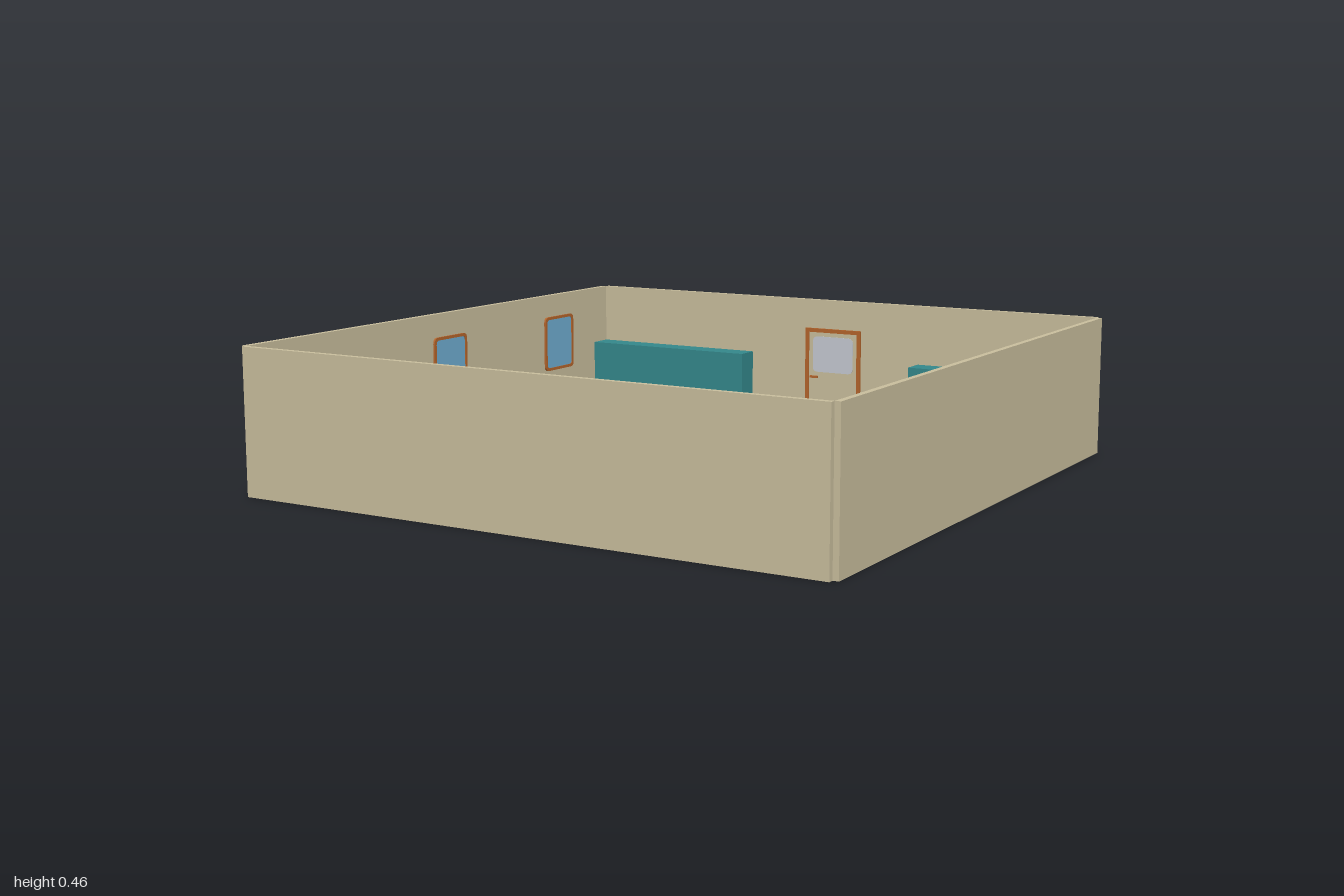
import * as THREE from 'three';

const mat = (name, color) => new THREE.MeshStandardMaterial({ name, color });

function roundedRect(path, w, h, r) {
  const x = w / 2, y = h / 2;
  path.moveTo(-x + r, -y);
  path.lineTo(x - r, -y);
  path.quadraticCurveTo(x, -y, x, -y + r);
  path.lineTo(x, y - r);
  path.quadraticCurveTo(x, y, x - r, y);
  path.lineTo(-x + r, y);
  path.quadraticCurveTo(-x, y, -x, y - r);
  path.lineTo(-x, -y + r);
  path.quadraticCurveTo(-x, -y, -x + r, -y);
  return path;
}

export function createModel() {
  const model = new THREE.Group();
  model.name = 'room';
  const wallMat = mat('beige', 0xcabf9e);
  const floorMat = mat('paleGrey', 0xc5c9ca);
  const tealMat = mat('teal', 0x34888c);
  const yellowMat = mat('yellow', 0xccc662);
  const legMat = mat('darkRed', 0x5a1418);
  const frameMat = mat('orangeWood', 0xb5652c);
  const glassMat = mat('blueGlass', 0x70aed2);
  const doorGlassMat = mat('greyGlass', 0xc6cad2);
  const potMat = mat('brown', 0xa05a34);

  const add = (parent, name, geometry, material, x = 0, y = 0, z = 0) => {
    const mesh = new THREE.Mesh(geometry, material);
    mesh.name = name;
    mesh.position.set(x, y, z);
    parent.add(mesh);
    return mesh;
  };
  const box = (parent, name, w, h, d, material, x, y, z) =>
    add(parent, name, new THREE.BoxGeometry(w, h, d), material, x, y, z);
  const plate = (shape, depth) =>
    new THREE.ExtrudeGeometry(shape, { depth, bevelEnabled: false, curveSegments: 5 });

  // Floor and four walls, with small open notches at the corners
  const H = 0.46, T = 0.018, IN = 1 - T;
  box(model, 'floor', 2 * IN, 0.003, 2 * IN, floorMat, 0, 0.0015, 0);
  for (const s of [-1, 1]) {
    box(model, s < 0 ? 'backWall' : 'frontWall', 2 * IN, H, T, wallMat, 0, H / 2, s * (1 - T / 2));
    box(model, s < 0 ? 'rightWall' : 'leftWall', T, H, 2 * IN, wallMat, s * (1 - T / 2), H / 2, 0);
  }

  // Windows: rounded frame with a pane, three on each of three walls
  const W = 0.18, WH = 0.2, R = 0.02, F = 0.01;
  const frameShape = roundedRect(new THREE.Shape(), W, WH, R);
  frameShape.holes.push(roundedRect(new THREE.Path(), W - 2 * F, WH - 2 * F, R - F / 2));
  const frameGeo = plate(frameShape, 0.007);
  const paneGeo = plate(roundedRect(new THREE.Shape(), W - 2 * F, WH - 2 * F, R - F / 2), 0.004);
  const addWindow = (x, z, turn) => {
    const g = new THREE.Group();
    g.name = 'window';
    add(g, 'windowFrame', frameGeo, frameMat);
    add(g, 'windowPane', paneGeo, glassMat);
    g.position.set(x, 0.28, z);
    g.rotation.y = turn;
    model.add(g);
  };
  for (const t of [-0.655, 0, 0.655]) {
    addWindow(-IN, t, Math.PI / 2);
    addWindow(IN, t, -Math.PI / 2);
    addWindow(t, IN, Math.PI);
  }

  // Door in the middle of the back wall
  const door = new THREE.Group();
  door.name = 'door';
  door.position.z = -IN;
  model.add(door);
  for (const s of [-1, 1]) box(door, 'doorJamb', 0.014, 0.355, 0.008, frameMat, s * 0.103, 0.1785, 0.004);
  box(door, 'doorLintel', 0.192, 0.014, 0.008, frameMat, 0, 0.349, 0.004);
  box(door, 'doorPanel', 0.192, 0.339, 0.004, wallMat, 0, 0.1725, 0.002);
  add(door, 'doorPane', plate(roundedRect(new THREE.Shape(), 0.16, 0.13, 0.02), 0.002), doorGlassMat, 0, 0.262, 0.004);
  box(door, 'doorHandle', 0.03, 0.008, 0.008, frameMat, -0.075, 0.178, 0.008);

  // Low cabinets on both sides of the door
  for (const s of [-1, 1])
    box(model, 'cabinet', IN - 0.333, 0.25, 0.084, tealMat, s * (IN + 0.333) / 2, 0.127, -0.9 - 0.041);

  // Tables in a three by three grid, the middle one at the back is yellow
  const addTable = (x, z, topMat) => {
    const g = new THREE.Group();
    g.name = 'table';
    g.position.set(x, 0, z);
    box(g, 'tableTop', 0.255, 0.018, 0.128, topMat, 0, 0.081, 0);
    for (const s of [-1, 1]) {
      box(g, 'longApron', 0.238, 0.01, 0.006, legMat, 0, 0.067, s * 0.056);
      box(g, 'shortApron', 0.006, 0.01, 0.108, legMat, s * 0.118, 0.067, 0);
      for (const q of [-1, 1])
        box(g, 'tableLeg', 0.012, 0.07, 0.012, legMat, s * 0.118, 0.037, q * 0.055);
    }
    model.add(g);
  };
  for (const x of [-0.56, 0, 0.56])
    for (const z of [0, 0.335, 0.67]) addTable(x, z, x === 0 && z === 0 ? yellowMat : wallMat);

  // Three round pots on the yellow table
  const profile = [[0, 0], [0.013, 0], [0.019, 0.009], [0.021, 0.02], [0.018, 0.031], [0.012, 0.038], [0.006, 0.041], [0, 0.042]]
    .map(([x, y]) => new THREE.Vector2(x, y));
  const potGeo = new THREE.LatheGeometry(profile, 20);
  for (const x of [-0.06, 0, 0.06]) add(model, 'pot', potGeo, potMat, x, 0.09, 0);

  return model;
}
